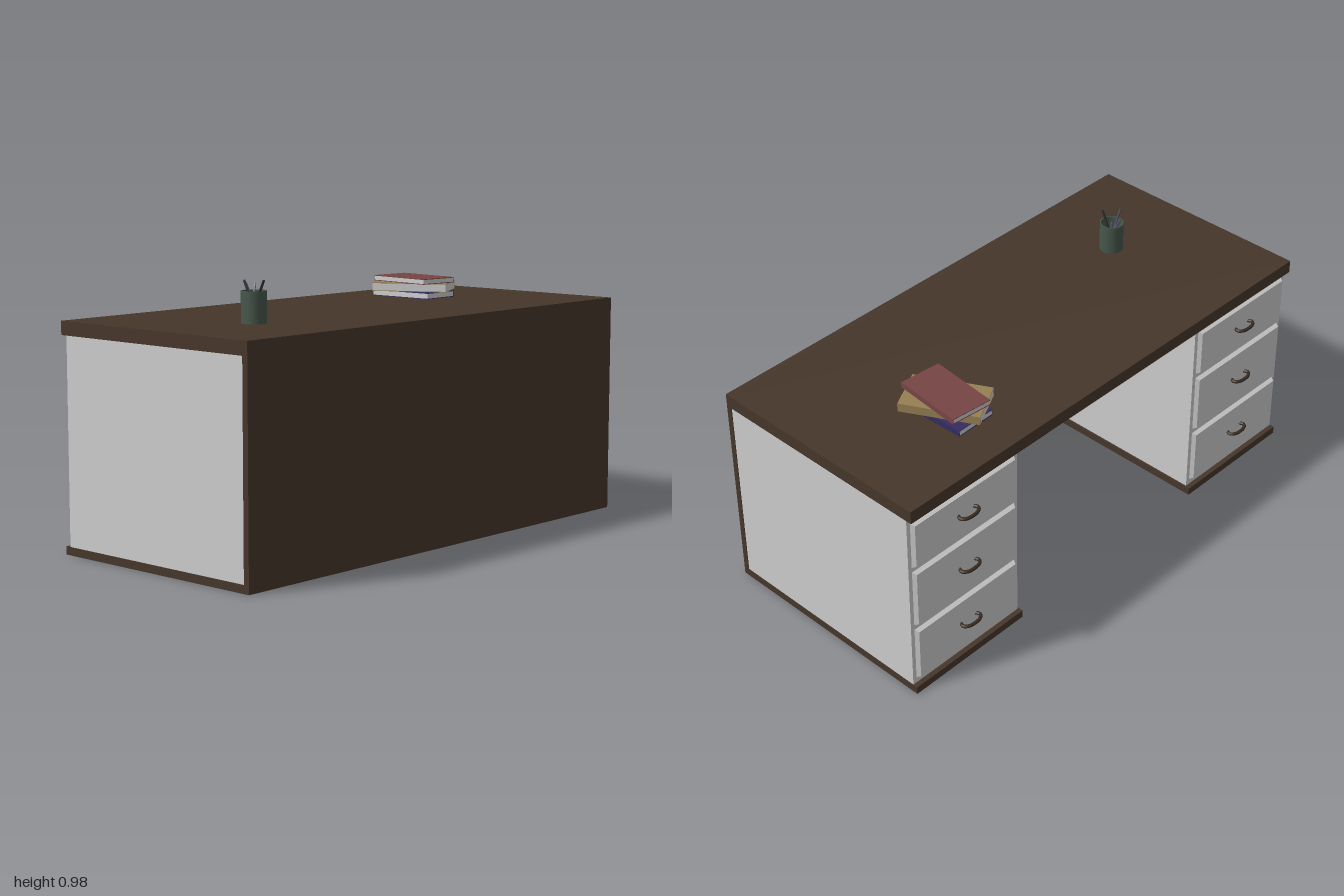
import * as THREE from 'three';

const mat = (color, extra = {}) => new THREE.MeshStandardMaterial({ color, ...extra });
const grey = mat(0xcccccc);
const wood = mat(0x46362a);
const handleMat = mat(0x3a2c22);
const cupMat = mat(0x46564a, { side: THREE.DoubleSide });

function add(parent, name, geometry, material, x = 0, y = 0, z = 0) {
  const mesh = new THREE.Mesh(geometry, material);
  mesh.name = name;
  mesh.position.set(x, y, z);
  parent.add(mesh);
  return mesh;
}

// Box given by its min and max on each axis
function slab(parent, name, material, [x0, x1], [y0, y1], [z0, z1]) {
  return add(parent, name, new THREE.BoxGeometry(x1 - x0, y1 - y0, z1 - z0), material,
    (x0 + x1) / 2, (y0 + y1) / 2, (z0 + z1) / 2);
}

// Drawer front facing -x, its outer edge chamfered
function drawerFront(height, width, depth, bevel) {
  const g = new THREE.BoxGeometry(depth, height, width).toNonIndexed();
  const p = g.attributes.position;
  for (let i = 0; i < p.count; i++) {
    if (p.getX(i) < 0) {
      p.setY(i, p.getY(i) - Math.sign(p.getY(i)) * bevel);
      p.setZ(i, p.getZ(i) - Math.sign(p.getZ(i)) * bevel);
    }
  }
  g.computeVertexNormals();
  return g;
}

// Curved pull, bowed out towards -x
function handleGeometry() {
  const points = [[0, -0.036], [-0.018, -0.042], [-0.032, -0.027], [-0.036, 0],
    [-0.032, 0.027], [-0.018, 0.042], [0, 0.036]].map(([x, z]) => new THREE.Vector3(x, 0, z));
  return new THREE.TubeGeometry(new THREE.CatmullRomCurve3(points), 24, 0.0065, 8);
}

function createPedestal(side) {
  const group = new THREE.Group();
  group.name = side > 0 ? 'frontPedestal' : 'backPedestal';
  const span = (a, b) => (side > 0 ? [a, b] : [-b, -a]);
  slab(group, 'cabinet', grey, [-0.42, 0.447], [0.03, 0.78], span(0.475, 0.998));
  slab(group, 'basePlate', wood, [-0.44, 0.447], [0, 0.03], span(0.468, 1));
  const handle = handleGeometry();
  for (const [y0, y1] of [[0.055, 0.28], [0.302, 0.542], [0.563, 0.755]]) {
    const mid = (y0 + y1) / 2;
    const drawer = new THREE.Group();
    drawer.name = 'drawer';
    drawer.position.set(0, mid, side * 0.737);
    add(drawer, 'drawerFront', drawerFront(y1 - y0, 0.49, 0.015, 0.008), grey, -0.4275);
    add(drawer, 'drawerHandle', handle, handleMat, -0.432, 0.008);
    group.add(drawer);
  }
  return group;
}

// Book lying flat: two covers, a spine on its -z side and a page block
function createBook(name, color, length, width, height, x, y, z, turn) {
  const book = new THREE.Group();
  book.name = name;
  book.position.set(x, y, z);
  book.rotation.y = turn;
  const cover = mat(color);
  const t = 0.0025, l = length / 2, w = width / 2;
  slab(book, 'bottomCover', cover, [-l, l], [0, t], [-w, w]);
  slab(book, 'topCover', cover, [-l, l], [height - t, height], [-w, w]);
  slab(book, 'spine', cover, [-l, l], [t, height - t], [-w, -w + t]);
  slab(book, 'pages', grey, [-l + 0.002, l - 0.002], [t, height - t], [-w + t, w - 0.002]);
  return book;
}

// Pencil from foot to tip, with a sharpened end
function createPencil(color, foot, tip, radius, sharp) {
  const pencil = new THREE.Group();
  pencil.name = sharp ? 'pencil' : 'pen';
  const a = new THREE.Vector3(...foot), b = new THREE.Vector3(...tip);
  const dir = b.clone().sub(a);
  const length = dir.length(), cone = sharp ? 0.022 : 0;
  pencil.position.copy(a);
  pencil.quaternion.setFromUnitVectors(new THREE.Vector3(0, 1, 0), dir.normalize());
  const m = mat(color, { flatShading: true });
  add(pencil, 'shaft', new THREE.CylinderGeometry(radius, radius, length - cone, 6), m, 0, (length - cone) / 2);
  if (sharp) add(pencil, 'point', new THREE.ConeGeometry(radius, cone, 6), m, 0, length - cone / 2);
  return pencil;
}

function createPencilCup() {
  const group = new THREE.Group();
  group.name = 'pencilCup';
  group.position.set(0.11, 0.83, 0.607);
  const profile = [[0, 0], [0.045, 0], [0.045, 0], [0.045, 0.113], [0.045, 0.113], [0.041, 0.113],
    [0.041, 0.113], [0.041, 0.006], [0.041, 0.006], [0, 0.006]].map(([r, y]) => new THREE.Vector2(r, y));
  add(group, 'cup', new THREE.LatheGeometry(profile, 32), cupMat);
  const pencils = [
    [0x5a5478, [0.02, 0.008, -0.01], [-0.044, 0.151, 0.002], true],
    [0x5c7080, [0.008, 0.008, 0.015], [-0.024, 0.145, -0.03], true],
    [0x4a4a50, [0.0, 0.008, -0.02], [-0.002, 0.152, 0.045], false],
    [0x2b2b2b, [-0.02, 0.008, 0.0], [0.043, 0.15, -0.006], false],
  ];
  for (const [color, foot, tip, sharp] of pencils) {
    group.add(createPencil(color, foot, tip, 0.0045, sharp));
  }
  return group;
}

export function createModel() {
  const model = new THREE.Group();
  model.name = 'desk';

  // Top and the full-length modesty panel
  slab(model, 'deskTop', wood, [-0.445, 0.447], [0.78, 0.83], [-1, 1]);
  slab(model, 'modestyPanel', wood, [0.447, 0.47], [0, 0.83], [-1, 1]);

  for (const side of [1, -1]) model.add(createPedestal(side));

  // Stack of books
  const books = new THREE.Group();
  books.name = 'bookStack';
  books.add(
    createBook('bottomBook', 0x352c60, 0.277, 0.165, 0.024, -0.145, 0.83, -0.535, 0.02),
    createBook('middleBook', 0x957f52, 0.293, 0.173, 0.033, -0.143, 0.854, -0.535, 0.49),
    createBook('topBook', 0x764444, 0.277, 0.165, 0.021, -0.144, 0.887, -0.537, -0.095),
  );
  model.add(books);

  model.add(createPencilCup());
  return model;
}
